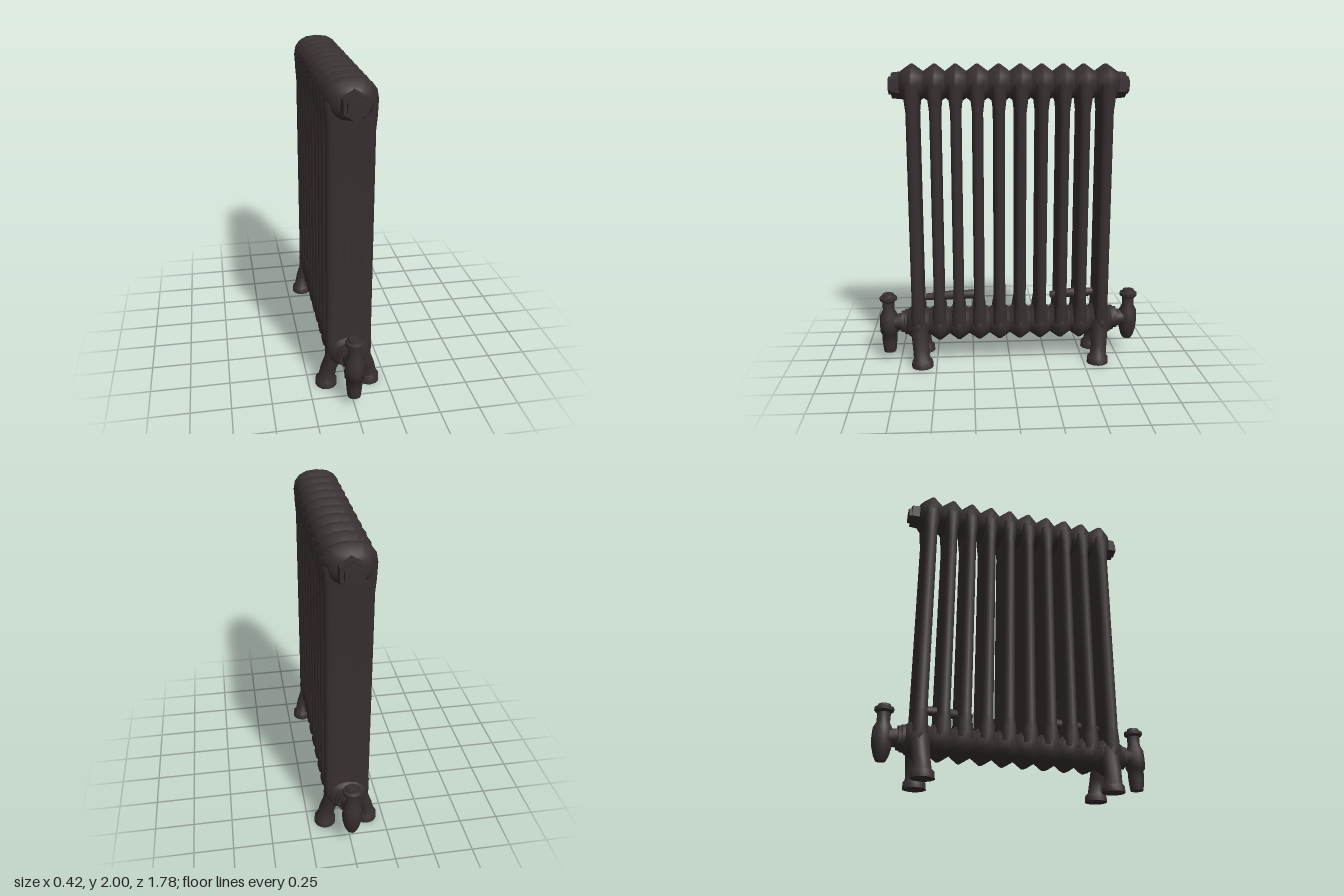
import * as THREE from 'three';
import { toCreasedNormals } from 'three/addons/utils/BufferGeometryUtils.js';

const pow = (v, e) => Math.sign(v) * Math.pow(Math.abs(v), e);

// Skin a list of closed rings (counterclockwise about the travel direction) and cap both ends
function loft(rings, crease = 0.9) {
  const n = rings[0].length, pos = [], idx = [];
  rings.forEach(r => r.forEach(p => pos.push(...p)));
  for (let i = 0; i < rings.length - 1; i++)
    for (let j = 0; j < n; j++) {
      const a = i * n + j, b = i * n + (j + 1) % n;
      idx.push(a, b, a + n, b, b + n, a + n);
    }
  const last = (rings.length - 1) * n;
  for (let j = 1; j < n - 1; j++) {
    idx.push(0, j + 1, j);
    idx.push(last, last + j, last + j + 1);
  }
  const g = new THREE.BufferGeometry();
  g.setAttribute('position', new THREE.Float32BufferAttribute(pos, 3));
  g.setIndex(idx);
  return toCreasedNormals(g, crease);
}

// Ring in the xy plane, travelling along +z
function ringZ(z, cy, rx, ry, n = 16, e = 1) {
  return Array.from({ length: n }, (_, i) => {
    const t = i / n * Math.PI * 2;
    return [rx * pow(Math.cos(t), e), cy + ry * pow(Math.sin(t), e), z];
  });
}

// Ring in the xz plane, travelling along +y
function ringY(y, cx, cz, rx, rz, n = 12) {
  return Array.from({ length: n }, (_, i) => {
    const t = i / n * Math.PI * 2;
    return [cx + rx * Math.sin(t), y, cz + rz * Math.cos(t)];
  });
}

// Two joined tubes with a shallow waist between them
function columnRing(y, cz, hx, hz, n = 20) {
  return Array.from({ length: n }, (_, i) => {
    const t = i / n * Math.PI * 2, s = Math.sin(t), c = Math.cos(t);
    return [hx * pow(s, 0.75), y, cz + hz * pow(c, 0.6) * (1 - 0.3 * c ** 4)];
  });
}

export function createModel() {
  const group = new THREE.Group();
  const castIron = new THREE.MeshStandardMaterial({ color: 0x372f2f });
  const add = (name, geometry) => {
    const m = new THREE.Mesh(geometry, castIron);
    m.name = name;
    group.add(m);
    return m;
  };
  const sections = [-0.62, -0.477, -0.345, -0.207, -0.069, 0.069, 0.207, 0.345, 0.477, 0.62];

  // Ridged headers: a peak at each section, a valley at each joint
  const header = (name, cy, peakX, peakY, valleyX, valleyY) => {
    const ring = (z, rx, ry) => ringZ(z, cy, rx, ry, 16, 0.85);
    const rings = [ring(-0.7, 0.08, 0.075), ring(-0.685, 0.11, 0.09)];
    sections.forEach((z, i) => {
      rings.push(ring(z - 0.008, peakX, peakY), ring(z + 0.008, peakX, peakY));
      if (i < sections.length - 1) rings.push(ring((z + sections[i + 1]) / 2, valleyX, valleyY));
    });
    rings.push(ring(0.685, 0.11, 0.09), ring(0.7, 0.08, 0.075));
    add(name, loft(rings, 1.1));
  };
  header('topHeader', 1.87, 0.155, 0.13, 0.108, 0.085);
  header('bottomHeader', 0.27, 0.148, 0.12, 0.105, 0.08);

  // Upright columns, flaring into the headers
  sections.forEach((z, i) => {
    const end = i === 0 || i === sections.length - 1;
    const w = end ? 0.053 : 0.046;
    add('column', loft([
      columnRing(0.28, z, 0.143, 0.064),
      columnRing(0.36, z, 0.146, 0.06),
      columnRing(0.42, z, 0.144, w),
      columnRing(1.7, z, 0.144, w),
      columnRing(1.78, z, 0.15, w + 0.012),
      columnRing(1.87, z, 0.154, 0.064),
    ], 1.1));
  });

  // Four splayed feet
  for (const sx of [-1, 1]) for (const sz of [-1, 1])
    add('foot', loft([
      ringY(0, sx * 0.138, sz * 0.595, 0.07, 0.073),
      ringY(0.04, sx * 0.138, sz * 0.595, 0.068, 0.07),
      ringY(0.055, sx * 0.136, sz * 0.598, 0.054, 0.056),
      ringY(0.13, sx * 0.122, sz * 0.605, 0.052, 0.054),
      ringY(0.2, sx * 0.095, sz * 0.61, 0.055, 0.058),
      ringY(0.3, sx * 0.08, sz * 0.615, 0.062, 0.06),
    ]));

  for (const s of [-1, 1]) {
    // Hexagonal plugs closing the top header
    const plug = (name, r, z, depth) => {
      const m = add(name, new THREE.CylinderGeometry(r * 0.92, r, depth, 6).toNonIndexed());
      m.geometry.computeVertexNormals();
      m.rotation.set(s * Math.PI / 2, 0, 0);
      m.rotation.y = 0;
      m.position.set(0.004, 1.865, s * z);
    };
    plug('topPlug', 0.088, 0.715, 0.07);
    plug('topPlugNut', 0.06, 0.75, 0.04);

    // Stepped pipe from the bottom header to the valve
    const pipe = [[0.68, 0.09], [0.715, 0.085], [0.72, 0.062], [0.77, 0.055], [0.82, 0.05]];
    const rings = pipe.map(([z, r]) => ringZ(s * z, 0.27, r, r, 12));
    add('valvePipe', loft(s > 0 ? rings : rings.reverse()));

    // Collar around the pipe
    const collar = add('pipeCollar', new THREE.CylinderGeometry(0.078, 0.078, 0.025, 8));
    collar.rotation.x = Math.PI / 2;
    collar.position.set(0, 0.27, s * 0.725);

    // Valve body: the front one has a longer tail
    const cz = s * 0.825;
    const tail = s > 0
      ? [[0.06, 0.042], [0.13, 0.05], [0.19, 0.052], [0.2, 0.062]]
      : [[0.12, 0.03], [0.15, 0.045], [0.2, 0.058]];
    const body = [...tail, [0.25, 0.064], [0.32, 0.06], [0.36, 0.04], [0.42, 0.042]];
    add('valveBody', loft(body.map(([y, r]) => ringY(y, 0, cz, r, r))));

    // Valve cap with a small top nut
    const cap = [[0.415, 0.04], [0.43, 0.06], [0.45, 0.06], [0.458, 0.042], [0.472, 0.038]];
    add('valveCap', loft(cap.map(([y, r]) => ringY(y, 0, cz, r, r, 10)), 0.7));
  }

  // Short tie rods running between the lower ends of the columns
  for (const [from, to] of [[0.19, 0.57], [-0.57, -0.28]]) {
    const mid = (from + to) / 2;
    add('tieRod', loft([
      ringZ(from, 0.46, 0.03, 0.03, 8),
      ringZ(mid, 0.455, 0.034, 0.034, 8),
      ringZ(to, 0.445, 0.024, 0.024, 8),
    ]));
  }
  return group;
}
